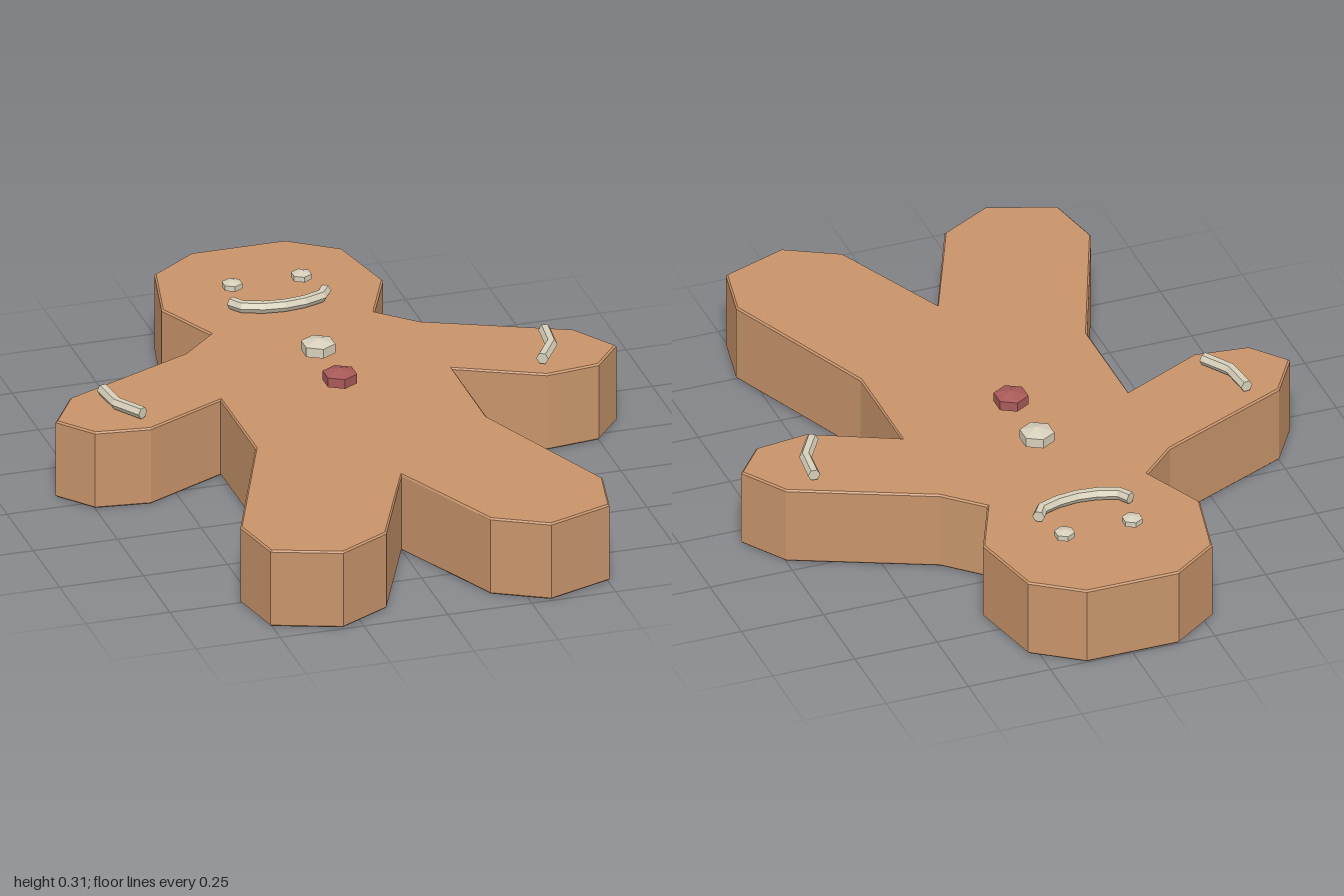
import * as THREE from 'three';

const dough = new THREE.MeshStandardMaterial({ color: 0xc8946a });
const icing = new THREE.MeshStandardMaterial({ color: 0xd6cfba });
const redCandy = new THREE.MeshStandardMaterial({ color: 0xa85a58 });

const TOP = 0.24;

function add(group, name, geometry, material) {
  const flat = geometry.index ? geometry.toNonIndexed() : geometry;
  flat.computeVertexNormals();
  const mesh = new THREE.Mesh(flat, material);
  mesh.name = name;
  group.add(mesh);
  return mesh;
}

// Faceted hexagonal drop with a point at top and bottom
function drop(radius, halfHeight) {
  const g = new THREE.SphereGeometry(1, 6, 3);
  g.rotateY(Math.PI / 6);
  const s = radius / Math.sin(Math.PI / 3);
  g.scale(s, halfHeight, s);
  return g;
}

// Capped hexagonal icing line along flat [x, z] points, mitred at the corners
function icingLine(path, y, r) {
  const up = new THREE.Vector3(0, 1, 0);
  const pts = path.map(([x, z]) => new THREE.Vector3(x, y, z));
  const last = pts.length - 1;
  const pos = [], idx = [], sides = 6;
  pts.forEach((p, i) => {
    const before = pts[Math.max(i - 1, 0)], after = pts[Math.min(i + 1, last)];
    const t = after.clone().sub(before).normalize();
    const n = up.clone().cross(t);
    for (let j = 0; j < sides; j++) {
      const a = (j / sides) * Math.PI * 2;
      const v = p.clone().addScaledVector(n, Math.cos(a) * r).addScaledVector(up, Math.sin(a) * r);
      pos.push(v.x, v.y, v.z);
    }
  });
  const startCentre = pts.length * sides, endCentre = startCentre + 1;
  for (const p of [pts[0], pts[last]]) pos.push(p.x, p.y, p.z);
  for (let j = 0; j < sides; j++) {
    const k = (j + 1) % sides;
    for (let i = 0; i < last; i++) {
      const a = i * sides + j, b = i * sides + k;
      idx.push(a, b, b + sides, a, b + sides, a + sides);
    }
    idx.push(startCentre, k, j, endCentre, last * sides + j, last * sides + k);
  }
  const g = new THREE.BufferGeometry();
  g.setAttribute('position', new THREE.Float32BufferAttribute(pos, 3));
  g.setIndex(idx);
  return g;
}

export function createModel() {
  const model = new THREE.Group();
  model.name = 'gingerbreadBiscuit';

  // Biscuit: half outline [x, z] from crown to crotch, mirrored and extruded upward
  const half = [
    [0.14, -1], [0.28, -0.9], [0.33, -0.67], [0.245, -0.48], // head and neck
    [0.35, -0.38], [0.75, -0.2], [0.835, -0.065], [0.75, 0.04], [0.59, 0.06], // arm
    [0.345, -0.06], [0.345, 0.27], // waist
    [0.54, 0.75], [0.505, 0.925], [0.31, 0.995], [0.155, 0.91], [0, 0.56], // leg
  ];
  const mirrored = half.slice(0, -1).reverse().map(([x, z]) => [-x, z]);
  const outline = [...half, ...mirrored].map(([x, z]) => new THREE.Vector2(x, -z));
  const bevel = 0.005;
  const body = new THREE.ExtrudeGeometry(new THREE.Shape(outline), {
    depth: TOP - 2 * bevel, bevelThickness: bevel, bevelSize: bevel,
    bevelOffset: -bevel, bevelSegments: 1,
  });
  body.rotateX(-Math.PI / 2);
  body.translate(0, bevel, 0);
  add(model, 'biscuit', body, dough);

  // Buttons
  add(model, 'upperButton', drop(0.05, 0.029), icing).position.set(0, 0.276, -0.235);
  add(model, 'lowerButton', drop(0.05, 0.029), redCandy).position.set(0, 0.276, -0.028);

  // Smile
  const smile = [[0.14, -0.615], [0.117, -0.58], [0.06, -0.56], [0, -0.553]];
  const smilePath = [...smile.map(([x, z]) => [-x, z]), ...smile.slice(0, -1).reverse()];
  add(model, 'mouth', icingLine(smilePath, 0.26, 0.018), icing);

  // Eyes and cuffs on both sides
  for (const [side, s] of [['left', 1], ['right', -1]]) {
    add(model, side + 'Eye', drop(0.03, 0.016), icing).position.set(s * 0.103, 0.26, -0.725);
    const cuff = [[0.658, -0.183], [0.647, -0.085], [0.595, -0.002]].map(([x, z]) => [s * x, z]);
    add(model, side + 'Cuff', icingLine(cuff, 0.26, 0.018), icing);
  }
  return model;
}
